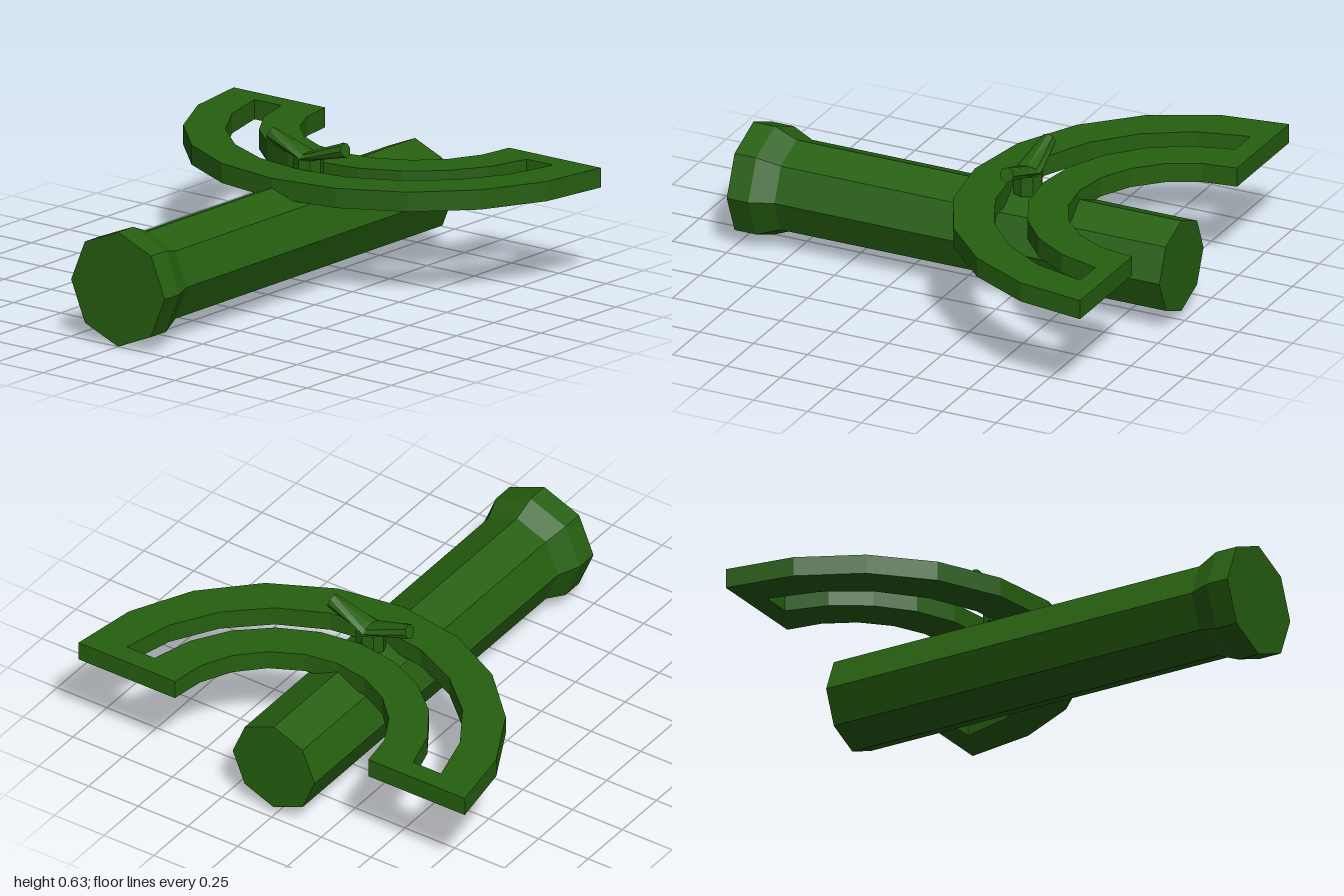
import * as THREE from 'three';

const material = new THREE.MeshStandardMaterial({ color: 0x265f10, flatShading: true });
const v2 = (x, y) => new THREE.Vector2(x, y);

// Points on an arc centred on z = -1, swept from +x to -x
function arc(radius, steps, startAngle = 0) {
  return Array.from({ length: steps + 1 }, (_, i) => {
    const a = startAngle + (Math.PI - 2 * startAngle) * i / steps;
    return v2(radius * Math.cos(a), -1 + radius * Math.sin(a));
  });
}

function addMesh(parent, geometry, name) {
  const mesh = new THREE.Mesh(geometry, material);
  mesh.name = name;
  parent.add(mesh);
  return mesh;
}

export function createModel() {
  const group = new THREE.Group();
  group.name = 'clampedRod';

  // Octagonal rod with a flared front end
  const profile = [[0, -0.985], [0.206, -0.985], [0.206, 0.8], [0.2475, 0.9], [0.2475, 1], [0, 1]];
  const rod = new THREE.LatheGeometry(profile.map(([r, z]) => v2(r, z)), 8).rotateX(Math.PI / 2);
  addMesh(group, rod, 'rod').position.y = 0.2475;

  // Curved plate with one long slot
  const shape = new THREE.Shape([...arc(0.972, 10), ...arc(0.487, 10).reverse()]);
  const slot = [...arc(0.796, 10, 0.113), ...arc(0.657, 10, 0.137).reverse()];
  shape.holes.push(new THREE.Path(slot));
  const plate = new THREE.ExtrudeGeometry(shape, { depth: 0.085, bevelEnabled: false });
  addMesh(group, plate.rotateX(Math.PI / 2), 'slottedPlate').position.y = 0.495;

  // Wing nut in the slot
  const nut = new THREE.Group();
  nut.name = 'wingNut';
  nut.position.set(0, 0, -0.273);
  group.add(nut);
  addMesh(nut, new THREE.CylinderGeometry(0.065, 0.065, 0.09, 8), 'nutCollar').position.y = 0.487;

  // Each wing is wide and flat at the root, rounder at the tip
  for (const side of [1, -1]) {
    const wing = new THREE.CylinderGeometry(1, 1, 0.205, 8).translate(0, 0.1025, 0);
    const p = wing.attributes.position;
    for (let i = 0; i < p.count; i++) {
      const t = p.getY(i) / 0.205;
      p.setX(i, p.getX(i) * THREE.MathUtils.lerp(0.018, 0.032, t));
      p.setZ(i, p.getZ(i) * THREE.MathUtils.lerp(0.06, 0.032, t));
    }
    wing.rotateZ(-side * (Math.PI / 2 - 0.3));
    addMesh(nut, wing, side > 0 ? 'leftWing' : 'rightWing').position.y = 0.536;
  }
  return group;
}
